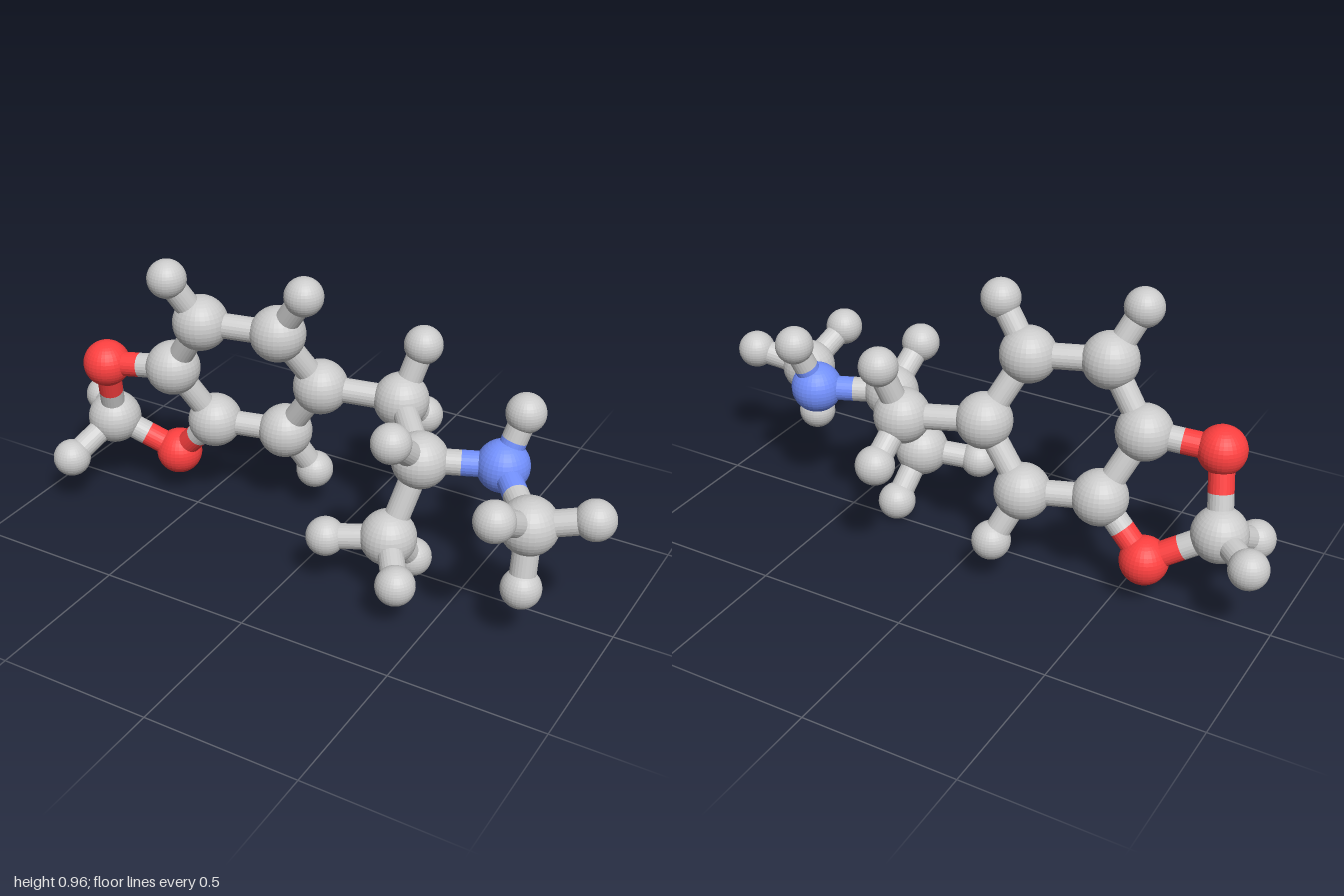
import * as THREE from 'three';

// Ball kinds: radius and colour
const KINDS = {
  carbon: { radius: 0.089, color: 0xcccccc },
  hydrogen: { radius: 0.062, color: 0xcccccc },
  oxygen: { radius: 0.077, color: 0xff4040 },
  nitrogen: { radius: 0.083, color: 0x7391ff },
};
const BOND_RADIUS = 0.04;

// Heavy balls: name -> [kind, x, y, z]
const ATOMS = {
  ring1: ['carbon', -0.53, 0.54, 0.06],
  ring2: ['carbon', -0.435, 0.33, -0.03],
  ring3: ['carbon', -0.205, 0.32, -0.10],
  ring4: ['carbon', -0.065, 0.525, -0.09],
  ring5: ['carbon', -0.16, 0.73, 0.01],
  ring6: ['carbon', -0.40, 0.74, 0.08],
  upperOxygen: ['oxygen', -0.76, 0.52, 0.11],
  lowerOxygen: ['oxygen', -0.595, 0.16, -0.04],
  bridge: ['carbon', -0.80, 0.275, 0.04],
  chain1: ['carbon', 0.185, 0.51, -0.165],
  chain2: ['carbon', 0.36, 0.45, 0.045],
  branch: ['carbon', 0.305, 0.205, 0.135],
  nitrogen: ['nitrogen', 0.59, 0.45, -0.05],
  tail: ['carbon', 0.76, 0.40, 0.14],
};

// Sticks between heavy balls
const BONDS = [
  ['ring1', 'ring2'], ['ring2', 'ring3'], ['ring3', 'ring4'],
  ['ring4', 'ring5'], ['ring5', 'ring6'], ['ring6', 'ring1'],
  ['ring1', 'upperOxygen'], ['upperOxygen', 'bridge'],
  ['bridge', 'lowerOxygen'], ['lowerOxygen', 'ring2'],
  ['ring4', 'chain1'], ['chain1', 'chain2'], ['chain2', 'branch'],
  ['chain2', 'nitrogen'], ['nitrogen', 'tail'],
];

// Small end balls, listed by the ball that carries them
const HYDROGENS = {
  ring3: [[-0.135, 0.157, -0.17]],
  ring5: [[-0.055, 0.886, 0.027]],
  ring6: [[-0.47, 0.90, 0.15]],
  bridge: [[-0.938, 0.267, -0.08], [-0.86, 0.18, 0.21]],
  chain1: [[0.23, 0.69, -0.22], [0.20, 0.395, -0.302]],
  chain2: [[0.335, 0.572, 0.19]],
  branch: [[0.12, 0.185, 0.20], [0.41, 0.155, 0.288], [0.325, 0.063, 0.004]],
  nitrogen: [[0.63, 0.615, -0.105]],
  tail: [[0.72, 0.492, 0.303], [0.937, 0.445, 0.085], [0.765, 0.207, 0.18]],
};

export function createModel() {
  const model = new THREE.Group();
  model.name = 'ballAndStickModel';
  const balls = new THREE.Group();
  balls.name = 'balls';
  const sticks = new THREE.Group();
  sticks.name = 'sticks';
  model.add(balls, sticks);

  const geometries = {};
  const materials = {};
  for (const [kind, { radius, color }] of Object.entries(KINDS)) {
    geometries[kind] = new THREE.SphereGeometry(radius, 32, 20);
    materials[kind] = new THREE.MeshStandardMaterial({ color, flatShading: true });
  }

  function addBall(name, kind, position) {
    const ball = new THREE.Mesh(geometries[kind], materials[kind]);
    ball.name = name + 'Ball';
    ball.position.copy(position);
    balls.add(ball);
    return { name, kind, position };
  }

  // One stick piece running from point a to point b
  function addStick(name, a, b, kind) {
    const direction = b.clone().sub(a);
    const geometry = new THREE.CylinderGeometry(BOND_RADIUS, BOND_RADIUS, direction.length(), 24, 1, true);
    const stick = new THREE.Mesh(geometry, materials[kind]);
    stick.name = name;
    stick.position.copy(a).lerp(b, 0.5);
    stick.quaternion.setFromUnitVectors(new THREE.Vector3(0, 1, 0), direction.normalize());
    sticks.add(stick);
  }

  // Each half of a stick takes the colour of its own ball
  function addBond(from, to) {
    const middle = from.position.clone().lerp(to.position, 0.5);
    addStick(`${from.name}To${to.name}Stick`, from.position, middle, from.kind);
    addStick(`${to.name}To${from.name}Stick`, middle, to.position, to.kind);
  }

  const atoms = {};
  for (const [name, [kind, x, y, z]] of Object.entries(ATOMS)) {
    atoms[name] = addBall(name, kind, new THREE.Vector3(x, y, z));
  }
  for (const [a, b] of BONDS) addBond(atoms[a], atoms[b]);
  for (const [parent, points] of Object.entries(HYDROGENS)) {
    points.forEach((p, i) => {
      const end = addBall(`${parent}End${i + 1}`, 'hydrogen', new THREE.Vector3(...p));
      addBond(atoms[parent], end);
    });
  }
  return model;
}
